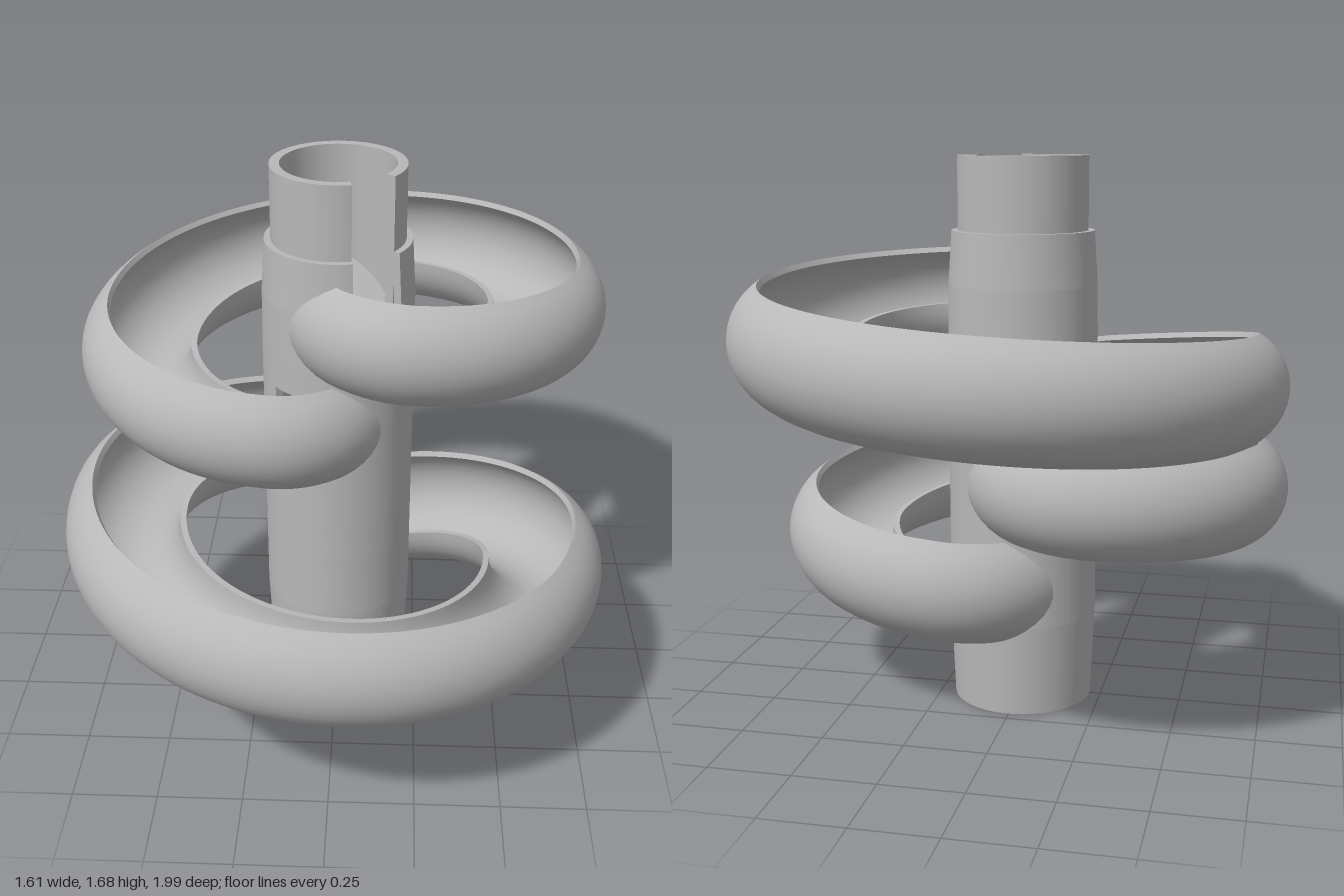
import * as THREE from 'three';
import { toCreasedNormals } from 'three/addons/utils/BufferGeometryUtils.js';

const grey = new THREE.MeshStandardMaterial({ color: 0xb8b8b8 });
grey.name = 'grey plastic';
const rad = THREE.MathUtils.degToRad;

function mesh(name, geometry) {
  const m = new THREE.Mesh(toCreasedNormals(geometry, 0.6), grey);
  m.name = name;
  return m;
}

// Upright ring from y0 to y1; gap = [from, to] in degrees, measured from +z towards +x
function ring(name, y0, y1, [r0, r1], rIn, gap) {
  const shape = new THREE.Shape();
  if (gap) {
    const a = rad(gap[1] - 90), b = rad(gap[0] + 270);
    shape.absarc(0, 0, 1, a, b, false);
    shape.absarc(0, 0, rIn, b, a, true);
  } else {
    shape.absarc(0, 0, 1, 0, Math.PI * 2, false);
    const hole = new THREE.Path();
    hole.absarc(0, 0, rIn, 0, Math.PI * 2, true);
    shape.holes.push(hole);
  }
  const g = new THREE.ExtrudeGeometry(shape, { depth: y1 - y0, bevelEnabled: false, curveSegments: 72 });
  g.rotateX(-Math.PI / 2);
  // Taper from r0 at the bottom to r1 at the top
  const p = g.attributes.position;
  for (let i = 0; i < p.count; i++) {
    const r = THREE.MathUtils.lerp(r0, r1, p.getY(i) / (y1 - y0));
    p.setXYZ(i, p.getX(i) * r, p.getY(i) + y0, p.getZ(i) * r);
  }
  return mesh(name, g);
}

// Track plan: tangent arcs around the centres below, by heading angle in degrees
const LOBE = 0.22, BEND = 0.41, LOOP = 0.63, BACK = -0.19, WALL = 0.2;
function arcAt(a) {
  if (a < 0) return [LOBE, 0, LOBE];
  if (a < 90) return [LOBE, BACK, BEND];
  if (a <= 270) return [0, BACK, LOOP];
  if (a <= 360) return [-LOBE, BACK, BEND];
  return [-LOBE, 0, LOBE];
}

// Centre height of the track, one value every 90 degrees
const descent = new THREE.CatmullRomCurve3(
  [1.245, 1.23, 1.185, 1.12, 1.04, 0.95, 0.915].map((y, i) => new THREE.Vector3(i, y, 0)));

// Open trough with a tall outer wall, lofted along the track
function trough(name) {
  const section = [], N = 26;
  for (let i = 0; i <= N; i++) section.push([0.178, rad(60 - 240 * i / N)]);
  for (let i = N; i >= 0; i--) section.push([0.16, rad(60 - 240 * i / N)]);

  const angles = [];
  for (let a = -90; a <= 450; a += 3) angles.push(a);
  const pos = [], index = [], n = section.length;
  for (const step of angles) {
    for (const [r, phi] of section) {
      const off = r * Math.cos(phi);
      // Both ends are trimmed to follow the column wall
      const R = LOBE + off;
      const trim = THREE.MathUtils.radToDeg(
        Math.asin((R * R + LOBE * LOBE - WALL * WALL) / (2 * LOBE * R)));
      let a = step;
      if (step < 0) a = step / 90 * trim;
      if (step > 360) a = 360 + (step - 360) / 90 * trim;
      const [cx, cz, radius] = arcAt(step);
      const y = descent.getPoint((a + 90) / 540).y + r * Math.sin(phi);
      pos.push(cx + (radius + off) * Math.sin(rad(a)), y, cz + (radius + off) * Math.cos(rad(a)));
    }
  }
  for (let j = 0; j < angles.length - 1; j++) {
    for (let i = 0; i < n; i++) {
      const k = (i + 1) % n;
      const a = j * n + i, b = j * n + k, c = b + n, d = a + n;
      index.push(a, b, c, a, c, d);
    }
  }
  const g = new THREE.BufferGeometry();
  g.setAttribute('position', new THREE.Float32BufferAttribute(pos, 3));
  g.setIndex(index);
  return mesh(name, g);
}

export function createModel() {
  const model = new THREE.Group();
  model.name = 'spiral marble track';

  // Column, built in bands so each track gets an opening in the wall
  const column = new THREE.Group();
  column.name = 'column';
  const notch = [13, 55];
  const bands = [
    [0, 0.28, 0.215, 0.227],
    [0.28, 0.5, 0.227, 0.227, [130, 168]],
    [0.5, 0.61, 0.227, 0.227],
    [0.61, 0.8, 0.227, 0.227, [193, 235]],
    [0.8, 0.83, 0.227, 0.227],
    [0.83, 1.04, 0.227, 0.227, [-52, -13]],
    [1.04, 1.14, 0.227, 0.227],
    [1.14, 1.3, 0.227, 0.225, notch],
    [1.3, 1.46, 0.225, 0.215, notch],
  ];
  for (const [y0, y1, r0, r1, gap] of bands) {
    column.add(ring('columnBand', y0, y1, [r0, r1], 0.89, gap));
  }
  column.add(ring('topSpigot', 1.14, 1.68, [0.196, 0.196], 0.85, notch));

  // Sloping floor that leads towards the notch
  const floor = new THREE.CylinderGeometry(0.19, 0.19, 0.02, 64);
  const p = floor.attributes.position, fall = rad(34);
  for (let i = 0; i < p.count; i++) {
    const along = p.getX(i) * Math.sin(fall) + p.getZ(i) * Math.cos(fall);
    p.setY(i, p.getY(i) + 1.23 - 0.75 * along);
  }
  column.add(mesh('slopingFloor', floor));
  model.add(column);

  // Two identical tracks, the lower one turned half way round
  const upper = trough('upperTrack');
  const lower = upper.clone();
  lower.name = 'lowerTrack';
  lower.rotation.y = Math.PI;
  lower.position.y = -0.535;
  model.add(upper, lower);
  return model;
}
